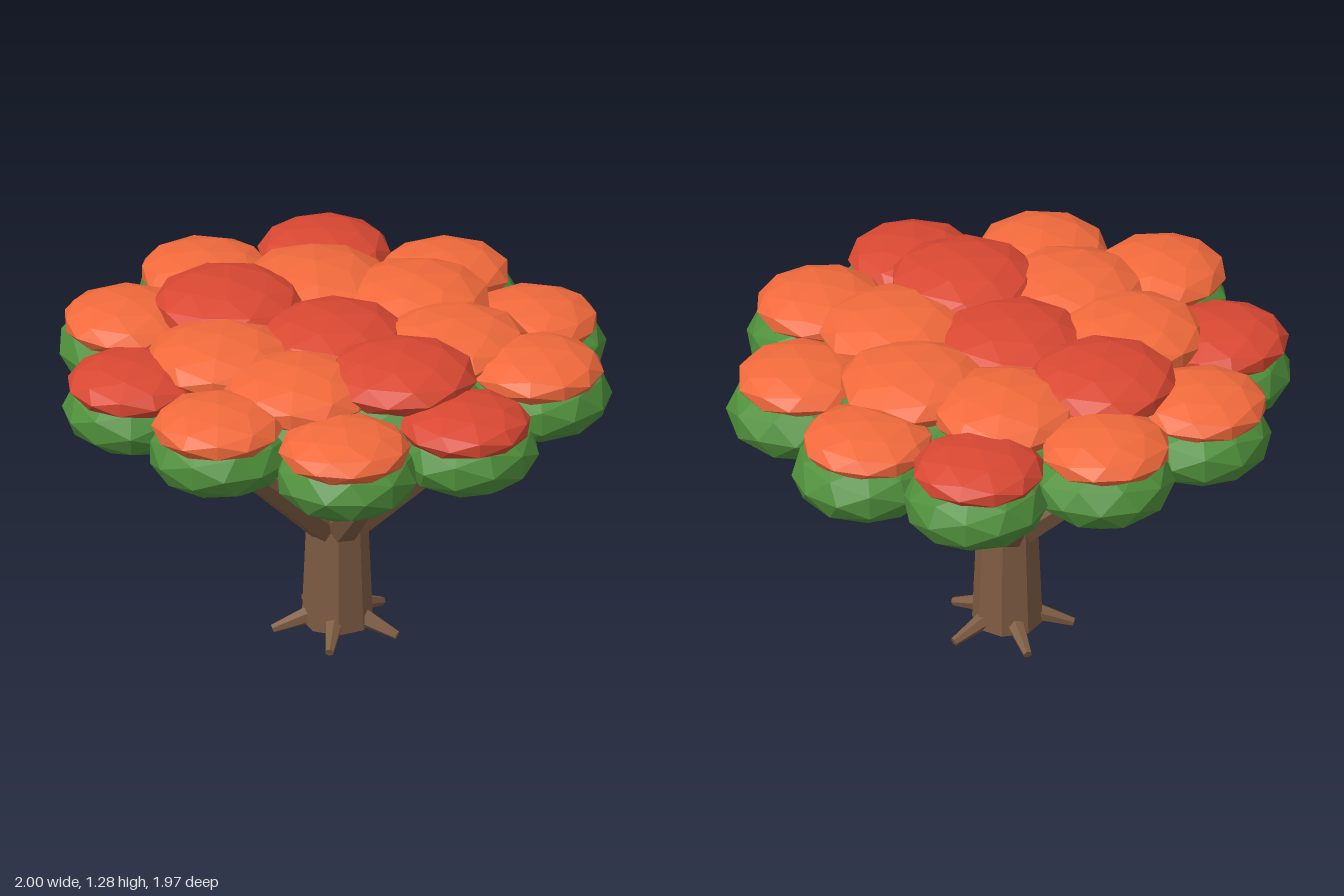
import * as THREE from 'three';

const paint = (color) => new THREE.MeshStandardMaterial({ color, flatShading: true });
const BARK = paint(0x7d5b42);
const GREEN = paint(0x4f8f3b);
const ORANGE = paint(0xf26a3c);
const RED = paint(0xd94832);

// Flattened low-poly clump of leaves
function clump(name, material, x, y, z, radius, halfHeight, turn) {
  const geometry = new THREE.IcosahedronGeometry(1, 1);
  geometry.rotateY(turn);
  geometry.scale(radius, halfHeight, radius);
  const mesh = new THREE.Mesh(geometry, material);
  mesh.name = name;
  mesh.position.set(x, y, z);
  return mesh;
}

// Tapered limb between two points
function limb(name, from, to, r0, r1, sides) {
  const direction = to.clone().sub(from);
  const mesh = new THREE.Mesh(new THREE.CylinderGeometry(r1, r0, direction.length(), sides), BARK);
  mesh.name = name;
  mesh.position.copy(from).add(to).multiplyScalar(0.5);
  mesh.quaternion.setFromUnitVectors(new THREE.Vector3(0, 1, 0), direction.normalize());
  return mesh;
}

// Point at a given angle around the trunk
const around = (angle, radius, y) =>
  new THREE.Vector3(Math.cos(angle) * radius, y, Math.sin(angle) * radius);

export function createModel() {
  const tree = new THREE.Group();
  tree.name = 'tree';

  // Trunk
  const trunk = new THREE.Mesh(new THREE.CylinderGeometry(0.11, 0.127, 0.41, 8), BARK);
  trunk.name = 'trunk';
  trunk.position.y = 0.235;
  tree.add(trunk);

  // Five short roots
  for (let i = 0; i < 5; i++) {
    const a = (i / 5) * Math.PI * 2;
    tree.add(limb('root', around(a, 0.08, 0.068), around(a, 0.235, 0.016), 0.036, 0.016, 6));
  }

  // Six spreading branches
  for (let i = 0; i < 6; i++) {
    const a = (i / 6) * Math.PI * 2;
    tree.add(limb('branch', around(a, 0.04, 0.41), around(a, 0.66, 0.95), 0.066, 0.028, 6));
  }

  // Outer ring of the canopy: x, z, lift, top colour
  const outer = [
    [0.715, -0.14, 0, ORANGE], [0.655, 0.34, 0, ORANGE], [0.335, 0.66, 0.035, ORANGE],
    [-0.13, 0.74, 0.015, RED], [-0.545, 0.54, 0, ORANGE], [-0.765, 0.13, 0.035, ORANGE],
    [-0.695, -0.345, 0.015, RED], [-0.365, -0.675, 0.03, ORANGE], [0.09, -0.72, 0.035, ORANGE],
    [0.525, -0.55, 0.02, RED],
  ];
  outer.forEach(([x, z, lift, material], i) => {
    tree.add(clump('outerLeaves', GREEN, x + 0.025, 0.985 + lift, z - 0.015, 0.26, 0.145, i * 0.9));
    tree.add(clump('outerBlossom', material, x, 1.1 + lift, z, 0.238, 0.085, i * 0.9 + 0.4));
  });

  // Inner ring of seven and the centre
  const inner = [[-0.03, 0.01, 0, RED]];
  for (let i = 0; i < 7; i++) {
    const p = around((i / 7) * Math.PI * 2, 0.43, 0);
    const red = i === 2 || i === 5;
    inner.push([p.x - 0.02, p.z, red ? 0.02 : -0.01, red ? RED : ORANGE]);
  }
  inner.forEach(([x, z, lift, material], i) => {
    tree.add(clump('innerLeaves', GREEN, x + 0.02, 1.05 + lift, z - 0.01, 0.29, 0.15, i * 1.1));
    tree.add(clump('innerBlossom', material, x, 1.17 + lift, z, 0.272, 0.095, i * 1.1 + 0.4));
  });

  return tree;
}
